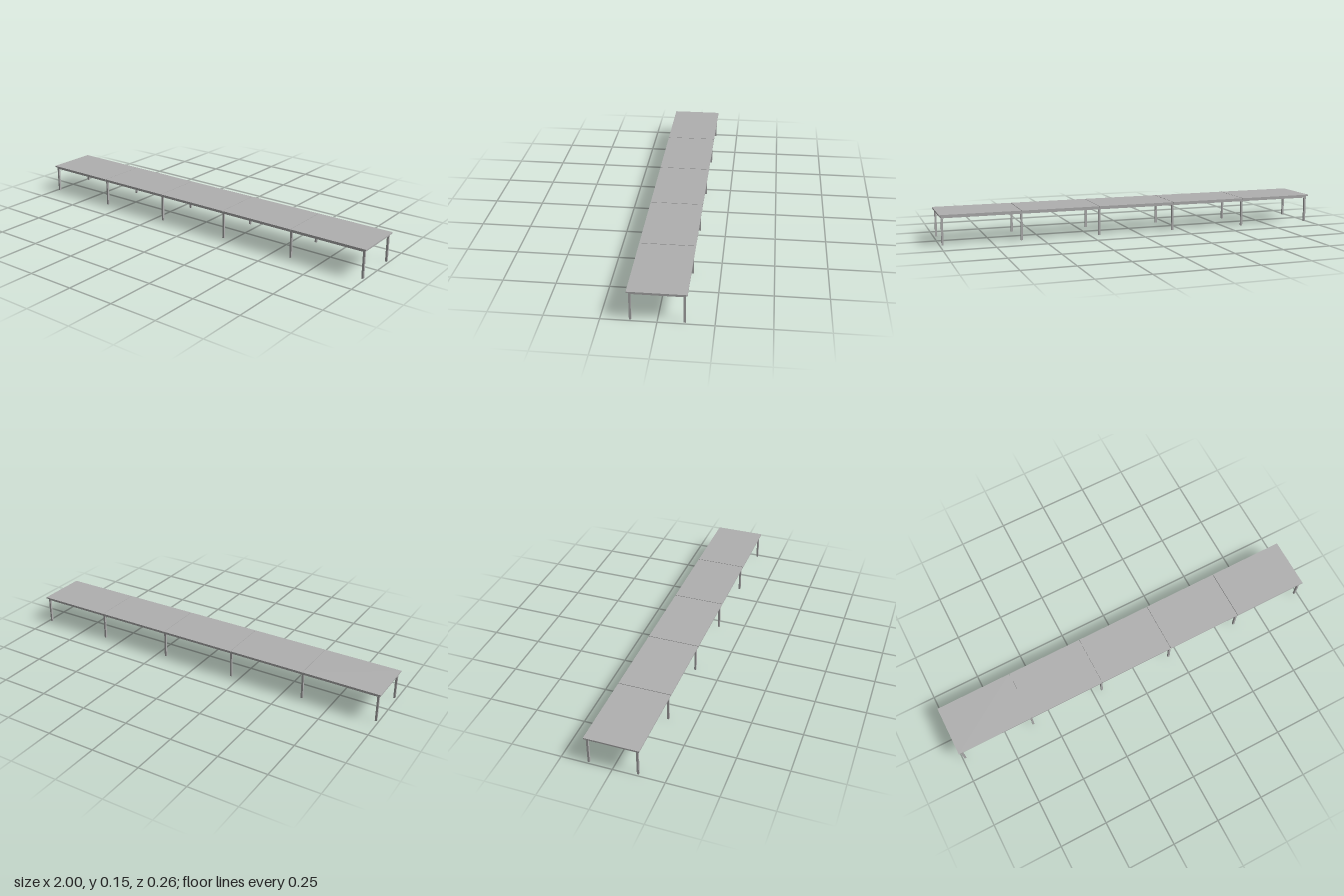
import * as THREE from 'three';

export function createModel() {
  const model = new THREE.Group();
  const grey = new THREE.MeshStandardMaterial({ color: 0xb0b0b0 });
  grey.name = 'grey';

  const addBox = (name, size, position) => {
    const mesh = new THREE.Mesh(new THREE.BoxGeometry(...size), grey);
    mesh.name = name;
    mesh.position.set(...position);
    model.add(mesh);
  };

  const height = 0.149;
  const topThickness = 0.007;
  const underside = height - topThickness;
  const legSize = 0.01;
  const legZ = 0.1185;
  const railHeight = 0.01;
  const railY = underside - railHeight / 2;
  const legXs = [-0.986, -0.6, -0.2, 0.2, 0.6, 0.986];

  // Five table tops in a row, with narrow seams between them
  const edges = [-1, -0.6, -0.2, 0.2, 0.6, 1];
  const seam = 0.003;
  for (let i = 0; i < 5; i++) {
    const x0 = edges[i] + (i > 0 ? seam / 2 : 0);
    const x1 = edges[i + 1] - (i < 4 ? seam / 2 : 0);
    addBox('tableTop', [x1 - x0, topThickness, 0.264],
      [(x0 + x1) / 2, height - topThickness / 2, 0]);
  }

  // Leg pairs joined by cross beams
  for (const x of legXs) {
    for (const side of [-1, 1]) {
      addBox('leg', [legSize, underside, legSize], [x, underside / 2, side * legZ]);
    }
    addBox('crossBeam', [legSize, railHeight, 2 * legZ - legSize], [x, railY, 0]);
  }

  // Long rails between neighbouring legs
  for (let i = 0; i < legXs.length - 1; i++) {
    const length = legXs[i + 1] - legXs[i] - legSize;
    const x = (legXs[i] + legXs[i + 1]) / 2;
    for (const side of [-1, 1]) {
      addBox('longRail', [length, railHeight, legSize], [x, railY, side * legZ]);
    }
  }

  return model;
}
